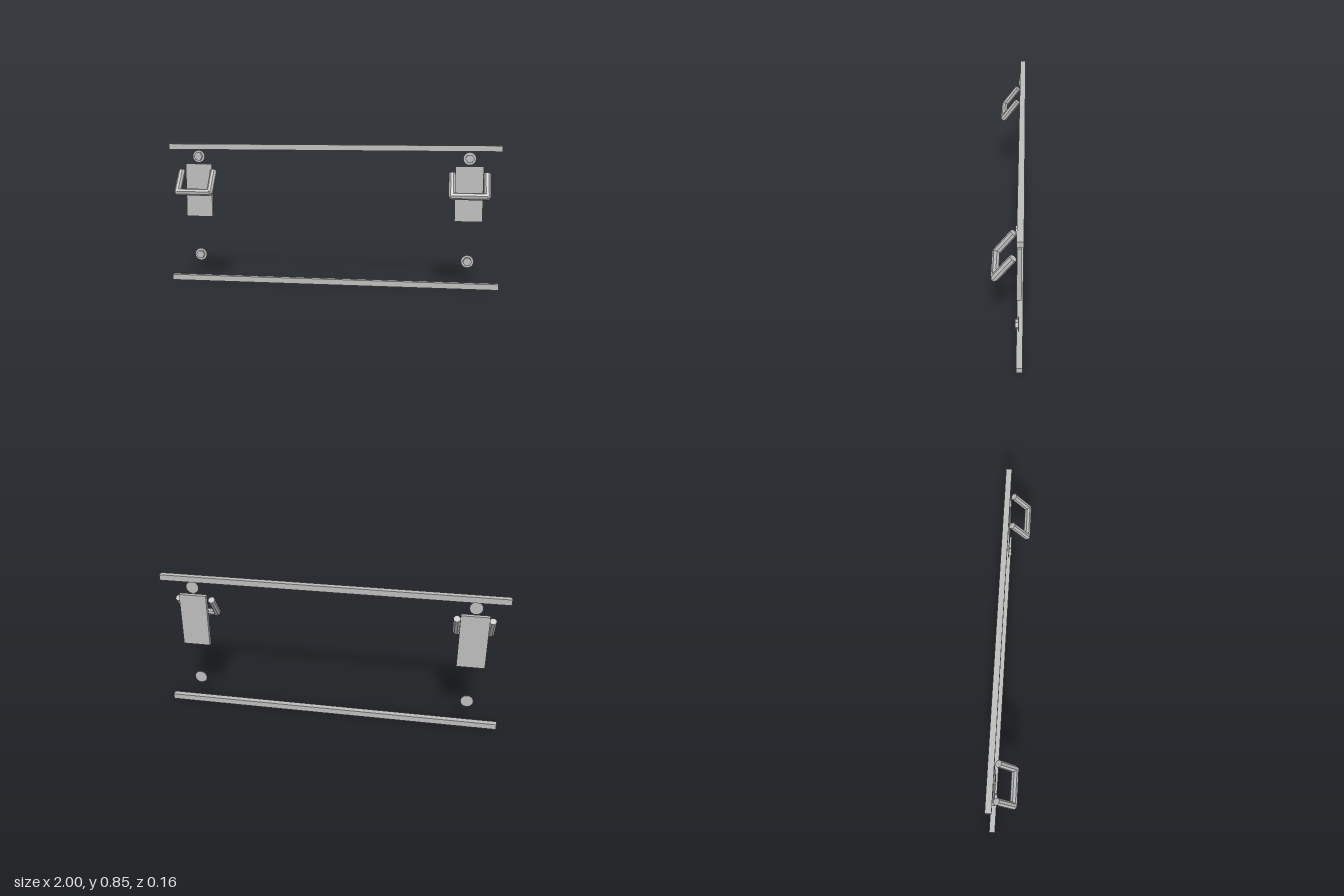
import * as THREE from 'three';

export function createModel() {
  const model = new THREE.Group();
  const steel = new THREE.MeshStandardMaterial({ color: 0xbcbcbc, flatShading: true });
  steel.name = 'steel grey';

  const add = (parent, name, geometry, x, y, z) => {
    const mesh = new THREE.Mesh(geometry, steel);
    mesh.name = name;
    mesh.position.set(x, y, z);
    parent.add(mesh);
    return mesh;
  };

  // Long square rails
  const rail = new THREE.BoxGeometry(2, 0.034, 0.034);
  add(model, 'bottomRail', rail, 0, 0.017, -0.061);
  add(model, 'topRail', rail, 0, 0.833, -0.061);

  const plate = new THREE.BoxGeometry(0.162, 0.324, 0.025);
  const washer = new THREE.CylinderGeometry(0.038, 0.038, 0.005, 16).rotateX(Math.PI / 2);
  // Hexagonal head with corners to left and right
  const head = new THREE.CylinderGeometry(0.0265, 0.0265, 0.016, 6).rotateY(Math.PI / 6).rotateX(Math.PI / 2);

  // Eight-sided handle tubes with flats facing outwards
  const R = 0.021, armLength = 0.151, half = 0.0995;
  const arm = new THREE.CylinderGeometry(R, R, armLength, 8).rotateY(Math.PI / 8);
  const bar = new THREE.CylinderGeometry(R, R, half * 2, 8).rotateY(Math.PI / 8).rotateZ(Math.PI / 2);
  const joint = new THREE.SphereGeometry(R, 8, 4).rotateY(Math.PI / 8);

  for (const [side, s] of [['left', 1], ['right', -1]]) {
    const x = s * 0.815;
    add(model, side + 'MountingPlate', plate, x, 0.567, -0.0575);

    // Bolts above and below the plate
    for (const [level, y] of [['Upper', 0.774], ['Lower', 0.167]]) {
      add(model, side + level + 'Washer', washer, x, y, -0.0545);
      add(model, side + level + 'BoltHead', head, x, y, -0.045);
    }

    // U-shaped handle leaning out from the plate
    const handle = new THREE.Group();
    handle.name = side + 'Handle';
    handle.position.set(x, 0.566, 0.061);
    handle.rotation.x = -0.63;
    add(handle, 'gripBar', bar, 0, 0, 0);
    for (const e of [-1, 1]) {
      add(handle, 'handleArm', arm, e * half, armLength / 2, 0);
      add(handle, 'handleJoint', joint, e * half, 0, 0);
    }
    model.add(handle);
  }
  return model;
}
